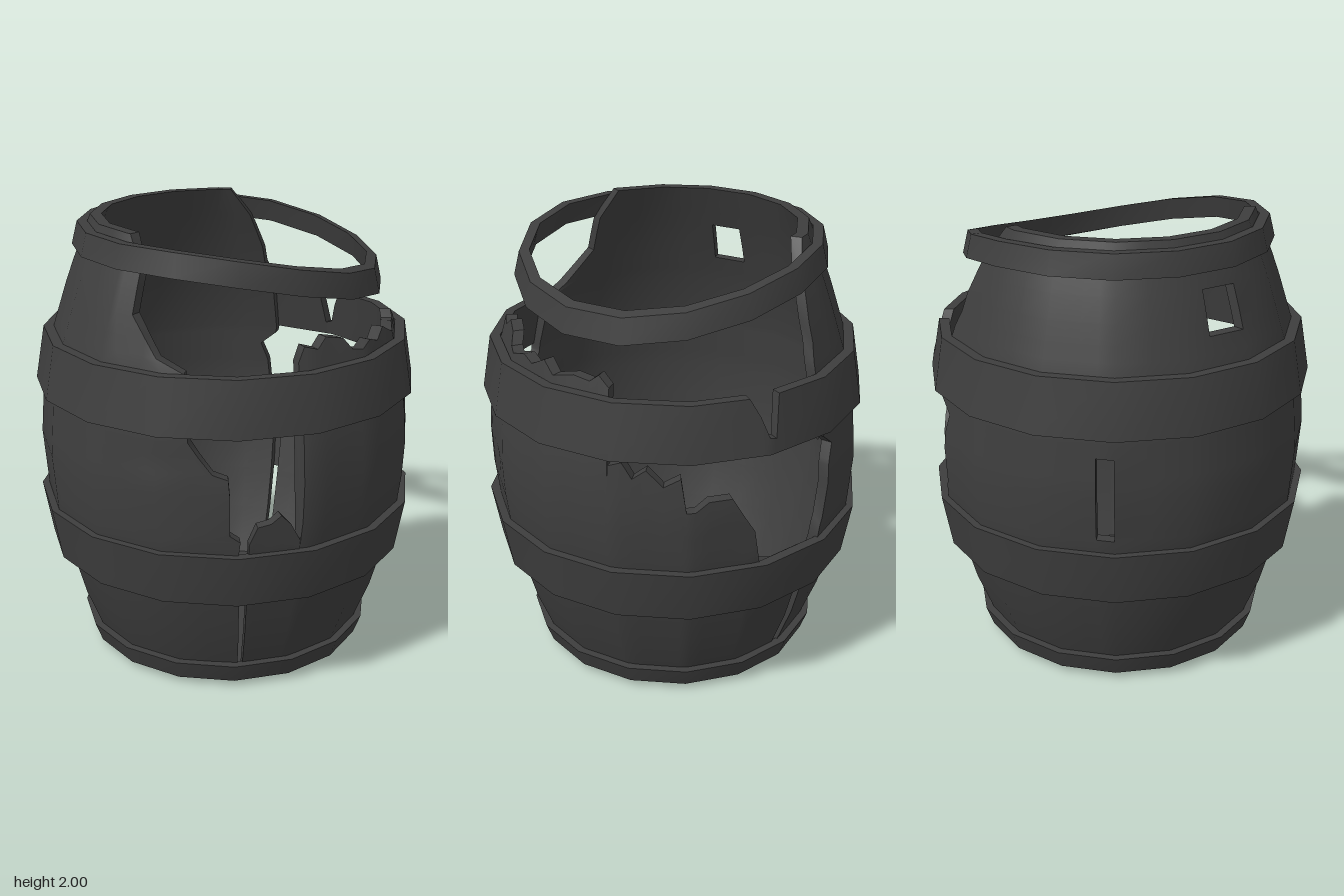
import * as THREE from 'three';
import { toCreasedNormals } from 'three/addons/utils/BufferGeometryUtils.js';

const STEP = 22.5; // sixteen-sided barrel
const RAD = Math.PI / 180;
const material = new THREE.MeshStandardMaterial({ color: 0x3e3e3e });

// Linear lookup through [key, value] pairs
function lerpTable(table, k) {
  let i = 1;
  while (i < table.length - 1 && table[i][0] < k) i++;
  const [a, b] = [table[i - 1], table[i]];
  const t = THREE.MathUtils.clamp((k - a[0]) / (b[0] - a[0]), 0, 1);
  return a[1] + (b[1] - a[1]) * t;
}

// Point on the sixteen-sided ring; angle 0 is the front, 90 is +x
function ringPoint(angle, radius, y) {
  const off = angle - STEP * Math.round(angle / STEP);
  const r = radius * Math.cos(STEP / 2 * RAD) / Math.cos(off * RAD);
  return [r * Math.sin(angle * RAD), y, r * Math.cos(angle * RAD)];
}

// Thick curved sheet from columns of [angle, y]; cells may be left out as holes
function curvedSheet(name, columns, radiusAt, thickness, isHole = () => false) {
  const pos = [];
  const nx = columns.length - 1, ny = columns[0].length - 1;
  const vertex = (i, j, inner) => {
    const [a, y] = columns[i][j];
    return ringPoint(a, radiusAt(y) - (inner ? thickness : 0), y);
  };
  const quad = (a, b, c, d) => pos.push(...a, ...b, ...c, ...a, ...c, ...d);
  const solid = (i, j) => i >= 0 && j >= 0 && i < nx && j < ny && !isHole(columns[i][j], columns[i + 1][j]);
  for (let i = 0; i < nx; i++) for (let j = 0; j < ny; j++) {
    if (!solid(i, j)) continue;
    const c = [[i, j], [i + 1, j], [i + 1, j + 1], [i, j + 1]];
    const next = [[i, j - 1], [i + 1, j], [i, j + 1], [i - 1, j]];
    const outer = c.map(([u, v]) => vertex(u, v, false));
    const inner = c.map(([u, v]) => vertex(u, v, true));
    quad(...outer);
    quad(inner[3], inner[2], inner[1], inner[0]);
    next.forEach(([u, v], k) => {
      const m = (k + 1) % 4;
      if (!solid(u, v)) quad(inner[k], inner[m], outer[m], outer[k]);
    });
  }
  const geo = new THREE.BufferGeometry();
  geo.setAttribute('position', new THREE.Float32BufferAttribute(pos, 3));
  const mesh = new THREE.Mesh(toCreasedNormals(geo, 0.6), material);
  mesh.name = name;
  return mesh;
}

// Bulging side of the barrel: [height, radius]
const bulge = [[0, 0.59], [0.12, 0.64], [0.3, 0.71], [0.5, 0.765], [0.74, 0.825], [1, 0.845],
  [1.26, 0.825], [1.5, 0.77], [1.75, 0.69], [2, 0.59]];
const bulgeRadius = (y) => lerpTable(bulge, y);

// Tall surviving wall: each row is [height, back edge angle, front edge angle]
function tallWall() {
  const rows = [[0, 168, 373], [0.12, 168, 372.5], [0.3, 168, 372.3], [0.5, 168, 372], [0.74, 168.5, 371.5],
    [0.8, 169, 372], [0.83, 170, 369], [1, 171, 369], [1.08, 171.5, 368.5], [1.1, 172, 364],
    [1.17, 174, 360], [1.23, 168.5, 357], [1.26, 168, 357], [1.5, 168.5, 355], [1.55, 169, 346],
    [1.62, 171, 341], [1.7, 171.5, 335], [1.8, 174, 335], [1.87, 176, 335], [2, 185, 327]];
  const fixed = [191.25, 202.5, 213.75, 225, 231, 236.25, 247.5, 258.75, 268, 281.25, 292.5, 303.75, 315, 326.25];
  const last = fixed[fixed.length - 1];
  const columns = [];
  for (const t of [0, 0.5]) columns.push(rows.map(([y, a0]) => [a0 + (fixed[0] - a0) * t, y]));
  for (const a of fixed) columns.push(rows.map(([y]) => [a, y]));
  for (const t of [0.25, 0.5, 0.75, 1]) columns.push(rows.map(([y, , a1]) => [last + (a1 - last) * t, y]));
  // A long slot low at the back and a knot hole high at the side
  const isHole = ([a, y]) =>
    (a === 231 && y >= 0.8 && y < 1.16) || (a === 268 && y >= 1.62 && y < 1.8);
  return curvedSheet('tallWall', columns, bulgeRadius, 0.05, isHole);
}

// Broken wall: its ragged top is [angle, height]
function brokenWall() {
  const top = [[14.5, 0.78], [17, 0.86], [21, 0.87], [24, 0.905], [27, 0.86], [30, 0.78], [30.5, 1.53],
    [33, 1.59], [38, 1.57], [42, 1.61], [49, 1.59], [52, 1.54], [56.25, 1.53], [62, 1.55], [67, 1.53],
    [73, 1.57], [78.75, 1.53], [86, 1.55], [92, 1.54], [95, 1.57], [99, 1.53], [100, 1.22], [104, 1.24],
    [107, 1.17], [111, 1.21], [116, 1.14], [121, 1.18], [122.5, 1.03], [125, 1.03], [129, 1.07],
    [136, 1.07], [140, 0.97], [143, 0.9], [145, 0.74], [152, 0.7], [158, 0.7], [165, 0.7]];
  const levels = [0, 0.12, 0.3, 0.5, 0.7];
  const columns = top.map(([a, h]) => [
    ...levels.map((y) => [a, Math.min(y, h)]),
    ...[0.2, 0.4, 0.6, 0.8, 1].map((t) => [a, 0.7 + (h + 0.002 - 0.7) * t]),
  ]);
  return curvedSheet('brokenWall', columns, bulgeRadius, 0.05);
}

// Hoop whose outer radius runs from r0 at y0 to r1 at y1; notch lists extra [angle, top]
function hoop(name, y0, y1, r0, r1, notch = []) {
  const tops = [...notch];
  for (let k = 0; k <= 16; k++) {
    const a = STEP / 2 + k * STEP;
    if (!notch.some(([n]) => Math.abs(n - a) < 3)) tops.push([a, y1]);
  }
  tops.sort((p, q) => p[0] - q[0]);
  const columns = tops.map(([a, h]) => [[a, y0], [a, h]]);
  return curvedSheet(name, columns, (y) => lerpTable([[y0, r0], [y1, r1]], y), 0.045);
}

export function createModel() {
  const group = new THREE.Group();
  group.name = 'brokenBarrel';
  group.add(tallWall(), brokenWall());

  // Hoops, the upper one with a split in its rim
  group.add(hoop('bottomHoop', 0.03, 0.12, 0.642, 0.675));
  group.add(hoop('lowerHoop', 0.5, 0.74, 0.815, 0.857));
  group.add(hoop('upperHoop', 1.26, 1.5, 0.857, 0.815,
    [[141, 1.5], [144, 1.42], [146.25, 1.33], [148.5, 1.32], [150.5, 1.5]]));

  // Top hoop sags where the wall has gone
  const topHoop = hoop('topHoop', 0, 0.1, 0.685, 0.66);
  const p = topHoop.geometry.attributes.position;
  for (let i = 0; i < p.count; i++) {
    const sag = Math.max(0, (p.getX(i) + 0.3) / 0.98);
    p.setY(i, p.getY(i) + 1.87 - 0.18 * sag * sag);
    p.setX(i, p.getX(i) + 0.012);
  }
  topHoop.geometry = toCreasedNormals(topHoop.geometry, 0.6);
  group.add(topHoop);

  // Floor set just inside the base
  const floor = new THREE.Mesh(
    new THREE.CylinderGeometry(0.57, 0.55, 0.05, 16, 1, false, STEP / 2 * RAD), material);
  floor.name = 'floor';
  floor.position.y = 0.05;
  group.add(floor);
  return group;
}
